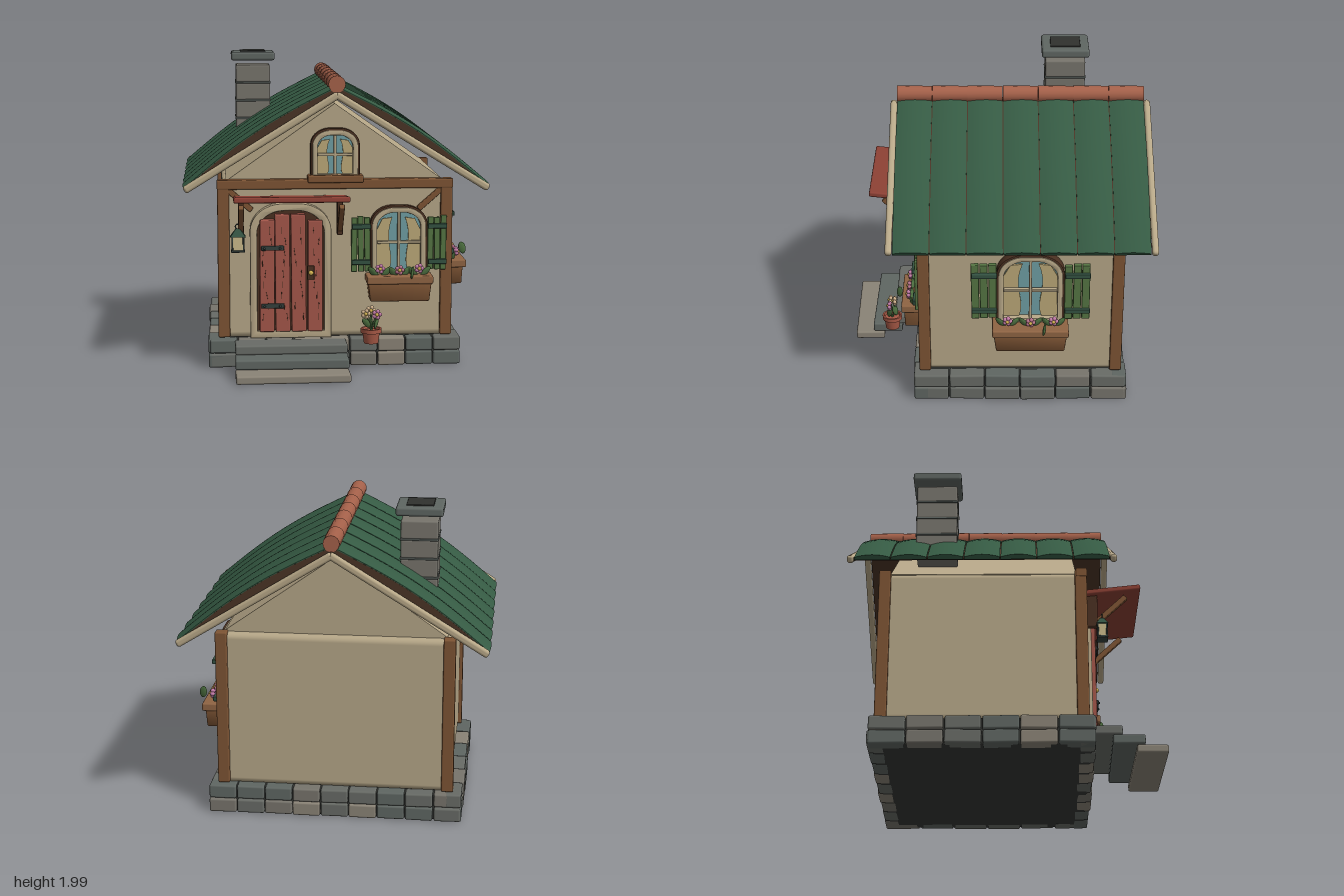
import * as THREE from 'three';
import { RoundedBoxGeometry } from 'three/addons/geometries/RoundedBoxGeometry.js';
import { toCreasedNormals } from 'three/addons/utils/BufferGeometryUtils.js';

const mats = {};
const mat = c => (mats[c] ??= new THREE.MeshStandardMaterial({ color: c }));
const C = { wall: 0xb5a687, cream: 0xb8a888, wood: 0x7d5434, woodLight: 0x8f6443, dark: 0x4a3021, deck: 0x4a3426,
  roof: 0x355a43, ridge: 0xa5614a, red: 0xa3564a, canopy: 0x8c4034, iron: 0x35403d, glass: 0x6f9fa3, curtain: 0xbba878,
  shutter: 0x557543, batten: 0x345242, leaf: 0x4d7040, pink: 0xc07aa5, yellow: 0xd0b050, pot: 0xa55845,
  stone: [0x5f6662, 0x77746c, 0x8a8376, 0x686b66] };
const CX = -0.012, ZC = -0.148; // house and roof centres
let seed = 7;
const rnd = (a = 1) => ((seed = (seed * 16807) % 2147483647) / 2147483647 - 0.5) * 2 * a;

function add(parent, name, geo, color, x = 0, y = 0, z = 0) {
  const m = new THREE.Mesh(geo, mat(color));
  m.name = name;
  m.position.set(x, y, z);
  parent.add(m);
  return m;
}
function group(parent, name, x = 0, y = 0, z = 0) {
  const g = new THREE.Group();
  g.name = name;
  g.position.set(x, y, z);
  parent.add(g);
  return g;
}
// Softened box given by its min and max corners
function block(p, name, color, x0, x1, y0, y1, z0, z1, r = 0.008) {
  const w = x1 - x0, h = y1 - y0, d = z1 - z0;
  return add(p, name, new RoundedBoxGeometry(w, h, d, 2, Math.min(r, w / 2.1, h / 2.1, d / 2.1)), color, (x0 + x1) / 2, (y0 + y1) / 2, (z0 + z1) / 2);
}
// Moves every vertex of a geometry by a rule
function warp(geo, rule) {
  const p = geo.attributes.position, v = new THREE.Vector3();
  for (let i = 0; i < p.count; i++) {
    rule(v.fromBufferAttribute(p, i));
    p.setXYZ(i, v.x, v.y, v.z);
  }
  return toCreasedNormals(geo, 0.6);
}
// Outline with rounded top, standing on y = b
function arch(w, h, b = 0, Type = THREE.Shape) {
  const s = new Type(), a = w / 2, rx = w * 0.4, ry = w * 0.34;
  s.moveTo(-a, b);
  s.lineTo(a, b);
  s.lineTo(a, h - ry);
  s.absellipse(a - rx, h - ry, rx, ry, 0, Math.PI / 2, false);
  s.absellipse(-a + rx, h - ry, rx, ry, Math.PI / 2, Math.PI, false);
  s.closePath();
  return s;
}
function extrude(shape, depth, bevel = 0) {
  return toCreasedNormals(new THREE.ExtrudeGeometry(shape, { depth, curveSegments: 10, bevelEnabled: bevel > 0,
    bevelSize: bevel, bevelThickness: bevel, bevelOffset: -bevel, bevelSegments: 2 }), 0.6);
}
function archFrame(w, h, t, depth) {
  const s = arch(w, h);
  s.holes.push(arch(w - 2 * t, h - t, t, THREE.Path));
  return extrude(s, depth, 0.005);
}

function flower(p, x, y, z, color) {
  const g = group(p, 'flower', x, y, z);
  for (let i = 0; i < 5; i++) {
    const a = i * Math.PI * 0.4;
    add(g, 'petal', new THREE.SphereGeometry(0.014, 8, 6), color, Math.cos(a) * 0.019, Math.sin(a) * 0.019, 0);
  }
  add(g, 'flowerCentre', new THREE.SphereGeometry(0.012, 8, 6), C.yellow, 0, 0, 0.01);
}
function leaf(p, x, y, z, tilt, turn = 0, size = 0.045) {
  const m = add(p, 'leaf', new THREE.SphereGeometry(size, 10, 6), C.leaf, x, y, z);
  m.scale.set(0.5, 1, 0.22);
  m.rotation.set(0.25, turn, tilt);
}

// Arched window facing +z, origin at the sill
function makeWindow(p, name, w, h, x, y, z) {
  const g = group(p, name, x, y, z);
  add(g, 'outerFrame', archFrame(w, h, 0.022, 0.05), C.dark);
  add(g, 'innerFrame', archFrame(w - 0.025, h - 0.013, 0.032, 0.055), C.cream);
  add(g, 'glass', extrude(arch(w - 0.06, h - 0.03), 0.02), C.glass);
  const iw = w / 2 - 0.045, ih = h - 0.06;
  for (const s of [-1, 1]) {
    const c = new THREE.Shape();
    c.moveTo(s * iw, 0.03);
    c.lineTo(s * iw * 0.42, 0.03);
    c.bezierCurveTo(s * iw * 0.15, ih * 0.35, s * iw * 0.7, ih * 0.55, s * iw * 0.3, ih * 0.95);
    c.lineTo(s * iw * 0.75, ih * 0.93);
    c.lineTo(s * iw, ih * 0.75);
    add(g, 'curtain', extrude(c, 0.012), C.curtain, 0, 0, 0.019);
  }
  block(g, 'verticalBar', C.cream, -0.009, 0.009, 0.02, h - 0.03, 0.025, 0.052, 0.004);
  block(g, 'crossBar', C.cream, -iw, iw, h * 0.45, h * 0.45 + 0.018, 0.025, 0.05, 0.004);
  return g;
}
// Shutters and a planted box around a window of the given width
function dressWindow(g, w, sw, sh) {
  for (const s of [-1, 1]) {
    const sg = group(g, 'shutter', s * (w / 2 + sw / 2 - 0.002), 0.03, 0.03);
    for (let i = 0; i < 3; i++) {
      const x = (i - 1) * sw / 3;
      block(sg, 'shutterPlank', C.shutter, x - sw / 6 + 0.002, x + sw / 6 - 0.002, rnd(0.008), sh + rnd(0.008), 0, 0.024, 0.005).rotation.z = rnd(0.015);
    }
    for (const y of [0.16, 0.82]) block(sg, 'shutterBatten', C.batten, -sw / 2 + 0.004, sw / 2, sh * y - 0.016, sh * y + 0.016, 0.02, 0.04, 0.005);
  }
  const bw = w + 0.055;
  block(g, 'flowerBoxRim', C.woodLight, -bw / 2, bw / 2, -0.045, 0.008, 0, 0.15, 0.01);
  const box = new RoundedBoxGeometry(bw - 0.02, 0.12, 0.125, 2, 0.01);
  add(g, 'flowerBox', warp(box, v => { const k = 0.97 + v.y * 0.6; v.x *= k; v.z *= k; }), C.wood, 0, -0.1, 0.07);
  for (const i of [-1, 0, 1]) {
    flower(g, i * w * 0.34, 0.04 + 0.01 * Math.abs(i), 0.105, i ? C.pink : 0xb5718a);
    for (const s of [-1, 1]) leaf(g, i * w * 0.34 + s * 0.042, 0.025, 0.085, s * -0.8, s * 0.3);
  }
  leaf(g, w * 0.2, 0.035, 0.165, -0.4, 1.2, 0.042);
}

function makeBase(p) {
  const g = group(p, 'stoneBase');
  block(g, 'baseCore', 0x343633, -0.79, 0.77, 0.012, 0.185, -0.81, 0.52);
  const row = (n, len, place) => {
    for (let r = 0; r < 2; r++) for (let i = 0; i < n; i++) {
      const w = len / n, geo = new RoundedBoxGeometry(w - 0.008 + rnd(0.004), 0.088, 0.1, 2, 0.012);
      const m = add(g, 'baseStone', geo, C.stone[Math.floor(Math.abs(rnd(4)))], 0, 0.055 + r * 0.093, 0);
      place(m, -len / 2 + w * (i + 0.5));
      m.rotation.z = rnd(0.02);
    }
  };
  for (const s of [-1, 1]) {
    row(9, 1.62, (m, t) => { m.position.x = CX + t; m.position.z = -0.145 + s * 0.642 + rnd(0.006); });
    row(6, 1.38, (m, t) => { m.position.x = CX + s * 0.762 + rnd(0.006); m.position.z = -0.145 + t; m.rotation.y = Math.PI / 2; });
  }
  [[0.13, 0.19, 0.53, 0.71, 3], [0.068, 0.13, 0.655, 0.855, 0], [0.01, 0.062, 0.79, 0.985, 2]].forEach(([y0, y1, z0, z1, c], i) => {
    block(g, 'step', C.stone[c], -0.66, 0.053, y0, y1, z0, z1, 0.012).rotation.y = [0.01, -0.01, 0.018][i];
  });
}

function makeWalls(p) {
  const g = group(p, 'walls', CX);
  block(g, 'wallBody', C.wall, -0.73, 0.73, 0.19, 1.2, -0.78, 0.48, 0.04);
  const tri = new THREE.Shape([[-0.7, 1.17], [0.7, 1.17], [0.7, 1.205], [0, 1.7], [-0.7, 1.205]].map(a => new THREE.Vector2(...a)));
  add(g, 'gable', extrude(tri, 1.18), C.wall, 0, 0, -0.735);
  for (const s of [-1, 1]) {
    for (const z of [0.472, -0.766]) block(g, 'cornerPost', C.wood, s * 0.716 - 0.038, s * 0.716 + 0.038, 0.2, 1.21, z - 0.038, z + 0.038, 0.01);
    const b = block(g, 'cornerBrace', C.wood, -0.1, 0.1, -0.018, 0.018, 0.47, 0.505, 0.006);
    b.position.set(s * 0.61, 1.09, 0.488);
    b.rotation.z = s * 0.72;
  }
  block(g, 'frontBeam', C.wood, -0.757, 0.757, 1.158, 1.22, 0.44, 0.512, 0.01);
}

// Roof side sloping down to +x: s runs ridge to eave, lift is measured along the normal
function makeRoof(p) {
  const roof = group(p, 'roof', CX, 0, ZC);
  const dx = 0.95, dy = -0.585, L = Math.hypot(dx, dy);
  const bulge = s => 0.035 * (1 - s) + 0.045 * Math.sin(Math.PI * s);
  const put = (v, s, lift, z) => v.set(dx * s - dy / L * lift, 1.768 + dy * s + dx / L * lift, z);
  for (const turn of [0, Math.PI]) {
    const side = group(roof, 'roofSide');
    side.rotation.y = turn;
    const deck = warp(new THREE.BoxGeometry(1, 1, 1, 14, 1, 1), v => put(v, v.x + 0.5, v.y > 0 ? bulge(v.x + 0.5) + 0.006 : -0.008, v.z * 1.59));
    add(side, 'roofDeck', deck, C.deck);
    for (let i = 0; i < 7; i++) {
      const tile = warp(new THREE.BoxGeometry(1, 1, 1, 14, 1, 8), v => {
        const s = v.x + 0.5, t = v.z * 2;
        put(v, s * 1.008, bulge(s) + (v.y > 0 ? 0.012 + 0.016 * (1 - t * t) : -0.004), (i - 3) * 0.2275 + v.z * 0.222);
      });
      add(side, 'roofTile', tile, C.roof);
    }
    for (const z of [-0.82, 0.82]) {
      const b = add(side, 'bargeBoard', new RoundedBoxGeometry(L + 0.02, 0.048, 0.042, 3, 0.018), C.cream, dx / 2, 1.768 + dy / 2, z);
      b.rotation.z = Math.atan2(dy, dx);
    }
  }
  for (let i = 0; i < 7; i++) {
    const r = add(roof, 'ridgeTile', new THREE.CylinderGeometry(0.054, 0.051, 0.226, 16), C.ridge, 0, 1.835, (i - 3) * 0.2275);
    r.rotation.x = Math.PI / 2;
  }
}

function makeChimney(p) {
  const g = group(p, 'chimney', -0.517, 0, -0.453);
  for (let i = 0; i < 4; i++) {
    block(g, 'chimneyCourse', C.stone[1], -0.117, 0.117, 1.42 + i * 0.122, 1.538 + i * 0.122, -0.133, 0.133, 0.012);
    if (i) block(g, 'mortar', C.stone[0], -0.121, 0.121, 1.412 + i * 0.122, 1.426 + i * 0.122, -0.137, 0.137, 0.005);
  }
  block(g, 'chimneyCap', C.stone[0], -0.148, 0.148, 1.935, 1.992, -0.158, 0.158, 0.016);
  block(g, 'flue', 0x30312e, -0.086, 0.086, 1.97, 2.0, -0.1, 0.1, 0.004);
}

function makeDoor(p) {
  const g = group(p, 'door', -0.3, 0.2, 0.475);
  add(g, 'doorSurround', archFrame(0.52, 0.87, 0.045, 0.06), C.cream);
  add(g, 'doorBack', extrude(arch(0.44, 0.83, 0.03), 0.04), C.dark);
  [0.77, 0.805, 0.805, 0.765].forEach((top, i) => {
    const x = (i - 1.5) * 0.103;
    const plank = group(g, 'doorPlank', x);
    plank.rotation.z = rnd(0.008);
    block(plank, 'plank', C.red, -0.047, 0.047, 0.045, top, 0.03, 0.092, 0.008);
    for (let k = 0; k < 9; k++) {
      const y = 0.12 + k * 0.07, gx = rnd(0.03);
      block(plank, 'grain', C.dark, gx - 0.002, gx + 0.002, y, y + 0.045, 0.088, 0.094, 0.001).rotation.z = rnd(0.15);
    }
  });
  for (const y of [0.59, 0.215]) {
    block(g, 'hinge', C.iron, -0.19, -0.045, y - 0.015, y + 0.015, 0.085, 0.105, 0.006);
    for (const x of [-0.17, -0.07]) add(g, 'rivet', new THREE.SphereGeometry(0.008, 8, 6), C.iron, x, y, 0.106);
  }
  block(g, 'handlePlate', C.dark, 0.103, 0.149, 0.38, 0.475, 0.085, 0.1, 0.006);
  add(g, 'knob', new THREE.SphereGeometry(0.016, 12, 8), C.yellow, 0.126, 0.43, 0.108);
}

function makeCanopy(p) {
  const g = group(p, 'doorCanopy');
  block(g, 'canopyRoof', C.canopy, -0.665, 0.058, 1.1, 1.137, 0.5, 0.855, 0.012).rotation.x = -0.11;
  for (const x of [-0.617, 0.012]) {
    block(g, 'canopyUpright', C.dark, x - 0.018, x + 0.018, 0.87, 1.1, 0.49, 0.58, 0.008);
    const b = block(g, 'canopyStrut', C.wood, x - 0.017, x + 0.017, 0.98, 1.015, 0.545, 0.795, 0.006);
    b.rotation.x = -0.76;
  }
  const l = group(g, 'lantern', -0.637, 0.775, 0.605);
  block(l, 'lanternBase', C.iron, -0.043, 0.043, 0, 0.014, -0.035, 0.035, 0.004);
  block(l, 'lanternGlass', 0xc9b98a, -0.033, 0.033, 0.012, 0.1, -0.027, 0.027, 0.004);
  for (const x of [-1, 1]) for (const z of [-1, 1]) block(l, 'lanternPost', C.iron, x * 0.035 - 0.005, x * 0.035 + 0.005, 0.01, 0.105, z * 0.028 - 0.005, z * 0.028 + 0.005, 0.002);
  const cap = add(l, 'lanternCap', new THREE.CylinderGeometry(0.02, 0.07, 0.05, 4).rotateY(Math.PI / 4).toNonIndexed(), C.batten, 0, 0.123, 0);
  cap.geometry.computeVertexNormals();
  cap.scale.z = 0.75;
  add(l, 'lanternRing', new THREE.TorusGeometry(0.016, 0.004, 6, 14), C.iron, 0, 0.162, 0);
}

function makePot(p) {
  const g = group(p, 'flowerPot', 0.2, 0.2, 0.715);
  const prof = [[0, 0], [0.046, 0], [0.055, 0.068], [0.066, 0.068], [0.066, 0.095], [0.054, 0.095], [0.05, 0.08], [0, 0.08]];
  add(g, 'pot', toCreasedNormals(new THREE.LatheGeometry(prof.map(a => new THREE.Vector2(...a)), 20), 0.6), C.pot);
  [[-0.035, 0.19, 0.01], [0.035, 0.185, 0.015], [0, 0.205, -0.02]].forEach(([x, y, z], i) => {
    const path = new THREE.QuadraticBezierCurve3(new THREE.Vector3(0, 0.07, 0), new THREE.Vector3(x * 0.3, 0.13, z), new THREE.Vector3(x, y, z));
    add(g, 'stem', new THREE.TubeGeometry(path, 6, 0.006, 6), C.leaf);
    flower(g, x, y, z, i === 1 ? C.pink : 0xcdb08c);
    leaf(g, x * 0.9, 0.13, z, -x * 18, i, 0.04);
  });
}

export function createModel() {
  const model = new THREE.Group();
  model.name = 'cottage';
  for (const make of [makeBase, makeWalls, makeRoof, makeChimney, makeDoor, makeCanopy, makePot]) make(model);
  dressWindow(makeWindow(model, 'frontWindow', 0.37, 0.45, 0.395, 0.6, 0.475), 0.37, 0.125, 0.35);
  const side = makeWindow(model, 'sideWindow', 0.43, 0.49, 0.715, 0.595, -0.208);
  side.rotation.y = Math.PI / 2;
  side.scale.z = 1.3;
  dressWindow(side, 0.43, 0.165, 0.385);
  const attic = makeWindow(model, 'gableWindow', 0.315, 0.325, CX, 1.22, 0.435);
  block(attic, 'gableSill', C.wood, -0.178, 0.178, -0.02, 0.028, 0, 0.1, 0.01);
  return model;
}
